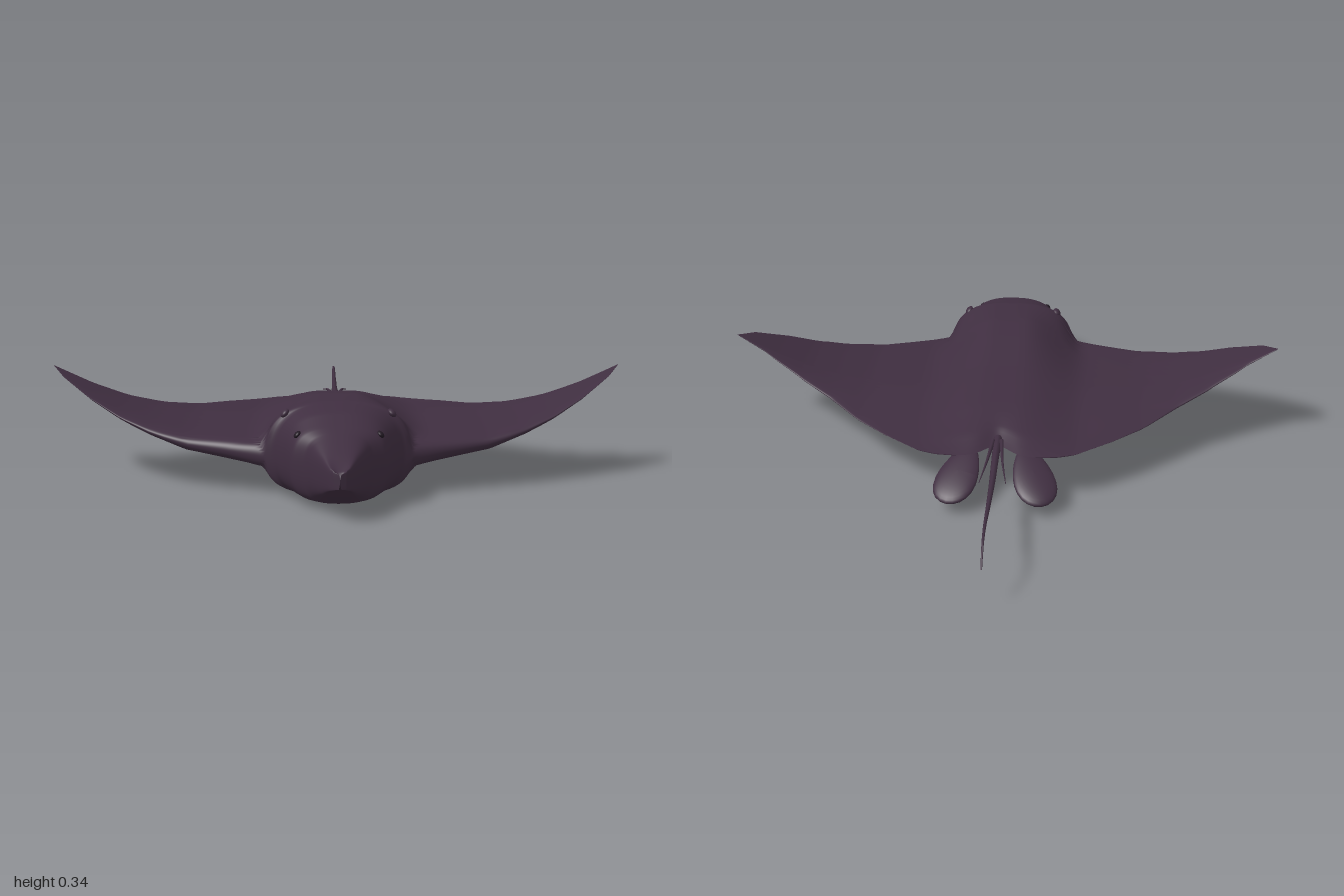
import * as THREE from 'three';

const { smoothstep, lerp, clamp } = THREE.MathUtils;

// Half-width of the whole animal from snout to trailing edge: [z, width]
const OUTLINE = [
  [0.995, 0], [0.985, 0.02], [0.965, 0.034], [0.9, 0.06], [0.81, 0.1], [0.77, 0.145], [0.7, 0.168],
  [0.625, 0.2], [0.595, 0.255], [0.55, 0.36], [0.48, 0.55], [0.41, 0.68], [0.33, 0.8],
  [0.23, 0.9], [0.145, 0.945], [0.125, 0.85], [0.065, 0.73], [-0.02, 0.6], [-0.12, 0.5],
  [-0.23, 0.38], [-0.32, 0.26], [-0.345, 0.2], [-0.355, 0.13],
];
// Centre-line back and belly heights: [z, y]
const BACK = [
  [0.995, 0.135], [0.98, 0.152], [0.9, 0.19], [0.8, 0.235], [0.7, 0.28], [0.6, 0.3], [0.45, 0.3],
  [0.33, 0.284], [0.15, 0.255], [0, 0.235], [-0.1, 0.222], [-0.26, 0.195], [-0.355, 0.165],
];
const BELLY = [
  [0.995, 0.125], [0.98, 0.112], [0.9, 0.065], [0.8, 0.02], [0.7, 0.008], [0.55, 0.003],
  [0.33, 0.025], [0.15, 0.065], [0, 0.108], [-0.1, 0.12], [-0.25, 0.14], [-0.355, 0.163],
];
// Upward sweep of the wings: [x, y]
const SWEEP = [
  [0, 0.14], [0.25, 0.142], [0.48, 0.158], [0.6, 0.187], [0.7, 0.222], [0.8, 0.27], [0.95, 0.35],
];

// Linear lookup in a table whose first column rises or falls
function lookup(table, v) {
  const dir = Math.sign(table[1][0] - table[0][0]);
  for (let i = 1; i < table.length; i++) {
    const [a, ya] = table[i - 1], [b, yb] = table[i];
    if ((b - v) * dir >= 0) return lerp(ya, yb, clamp((v - a) / (b - a), 0, 1));
  }
  return table[table.length - 1][1];
}

// Height of the skin; side is +1 for the back and -1 for the belly
function skinHeight(x, z, width, side) {
  const ax = Math.abs(x);
  const s = width > 0 ? Math.min(ax / width, 1) : 1;
  const mid = lookup(SWEEP, ax) - 0.035 * (Math.min(z, 0.6) - 0.15);
  const thin = smoothstep(z, -0.355, 0.15);
  const half = (0.048 * Math.max(0, 1 - ax / 0.95) + 0.005) * thin * Math.sqrt(1 - s ** 6);
  const wing = mid + side * half;
  const head = Math.sqrt(Math.max(0, 1 - (ax / Math.max(0.001, Math.min(width, 0.225))) ** 2.5));
  const disc = 1 - smoothstep(ax, 0.05, 0.29);
  const bulge = lerp(disc, head, smoothstep(z, 0.38, 0.62));
  return lerp(wing, lookup(side > 0 ? BACK : BELLY, z), bulge);
}

// Head, body and wings as one closed loft of rings along z
function bodyGeometry() {
  const rows = [], N = 160, SUB = 5;
  OUTLINE.forEach(([z, w], i) => {
    if (i === 0) return rows.push([z, w]);
    const [z0, w0] = OUTLINE[i - 1];
    for (let k = 1; k <= SUB; k++) rows.push([lerp(z0, z, k / SUB), lerp(w0, w, k / SUB)]);
  });
  const pos = [], index = [];
  rows.forEach(([z, w], i) => {
    for (let j = 0; j < N; j++) {
      const t = (j / N) * Math.PI * 2, c = -Math.cos(t);
      const x = w * (0.6 * c + 0.4 * c ** 3);
      // notch in the trailing edge at the tail root
      const notch = 0.07 * Math.exp(-((x / 0.055) ** 2)) * (1 - smoothstep(z, -0.355, -0.1));
      pos.push(x, skinHeight(x, z, w, j <= N / 2 ? 1 : -1), z + notch);
      if (i === rows.length - 1) continue;
      const a = i * N + j, b = i * N + ((j + 1) % N);
      index.push(a, b, a + N, b, b + N, a + N);
    }
  });
  const geo = new THREE.BufferGeometry();
  geo.setAttribute('position', new THREE.Float32BufferAttribute(pos, 3));
  geo.setIndex(index);
  geo.computeVertexNormals();
  return geo;
}

// Tube that narrows from r0 to r1 along a smooth path
function taperedTube(points, r0, r1, segs, sides) {
  const curve = new THREE.CatmullRomCurve3(points.map((p) => new THREE.Vector3(...p)));
  const geo = new THREE.TubeGeometry(curve, segs, r0, sides);
  const p = geo.attributes.position, v = new THREE.Vector3();
  for (let i = 0; i < p.count; i++) {
    const t = Math.floor(i / (sides + 1)) / segs, c = curve.getPointAt(t);
    v.fromBufferAttribute(p, i).sub(c).multiplyScalar(lerp(1, r1 / r0, t)).add(c);
    p.setXYZ(i, v.x, v.y, v.z);
  }
  return geo;
}

// Rounded paddle, narrow at its root (+z) and wide at its tip (-z)
function paddleGeometry() {
  const geo = new THREE.SphereGeometry(1, 24, 18);
  const p = geo.attributes.position;
  for (let i = 0; i < p.count; i++) {
    const z = p.getZ(i), k = 1 - 0.3 * z;
    p.setXYZ(i, p.getX(i) * 0.068 * k, p.getY(i) * 0.02 * k, z * 0.125);
  }
  geo.computeVertexNormals();
  return geo;
}

export function createModel() {
  const model = new THREE.Group();
  const skin = new THREE.MeshStandardMaterial({ color: 0x3f2e40 });
  skin.name = 'dusky plum skin';
  const dark = new THREE.MeshStandardMaterial({ color: 0x231a24 });
  dark.name = 'dark eye';

  const add = (name, geo, mat) => {
    const mesh = new THREE.Mesh(geo, mat);
    mesh.name = name;
    model.add(mesh);
    return mesh;
  };

  add('body', bodyGeometry(), skin);

  // Whip tail
  add('tail', taperedTube([
    [0, 0.175, -0.25], [0, 0.173, -0.4], [0, 0.166, -0.52], [0, 0.178, -0.7],
    [0, 0.195, -0.87], [0, 0.178, -0.94], [0, 0.13, -0.993],
  ], 0.014, 0.0025, 48, 8), skin);

  for (const [side, label] of [[1, 'left'], [-1, 'right']]) {
    // Pelvic fin hanging behind and below the disc
    const fin = add(label + 'PelvicFin', paddleGeometry(), skin);
    fin.position.set(side * 0.122, 0.098, -0.362);
    fin.rotation.set(-0.42, -side * 0.3, 0, 'YXZ');

    // Tail spine
    add(label + 'Spine', taperedTube([
      [side * 0.014, 0.182, -0.28], [side * 0.026, 0.176, -0.42], [side * 0.043, 0.16, -0.53],
    ], 0.008, 0.001, 12, 6), skin);

    // Eye and the breathing hole behind it, set into the head
    const spots = [['Eye', 0.125, 0.75, 0.016, dark], ['Spiracle', 0.165, 0.61, 0.02, skin]];
    for (const [part, x, z, r, mat] of spots) {
      const spot = add(label + part, new THREE.SphereGeometry(r, 16, 12), mat);
      spot.scale.set(0.5, 0.8, 1.1);
      spot.position.set(side * x, skinHeight(x, z, lookup(OUTLINE, z), 1), z);
      spot.rotation.z = side * 0.8;
    }
  }
  return model;
}
